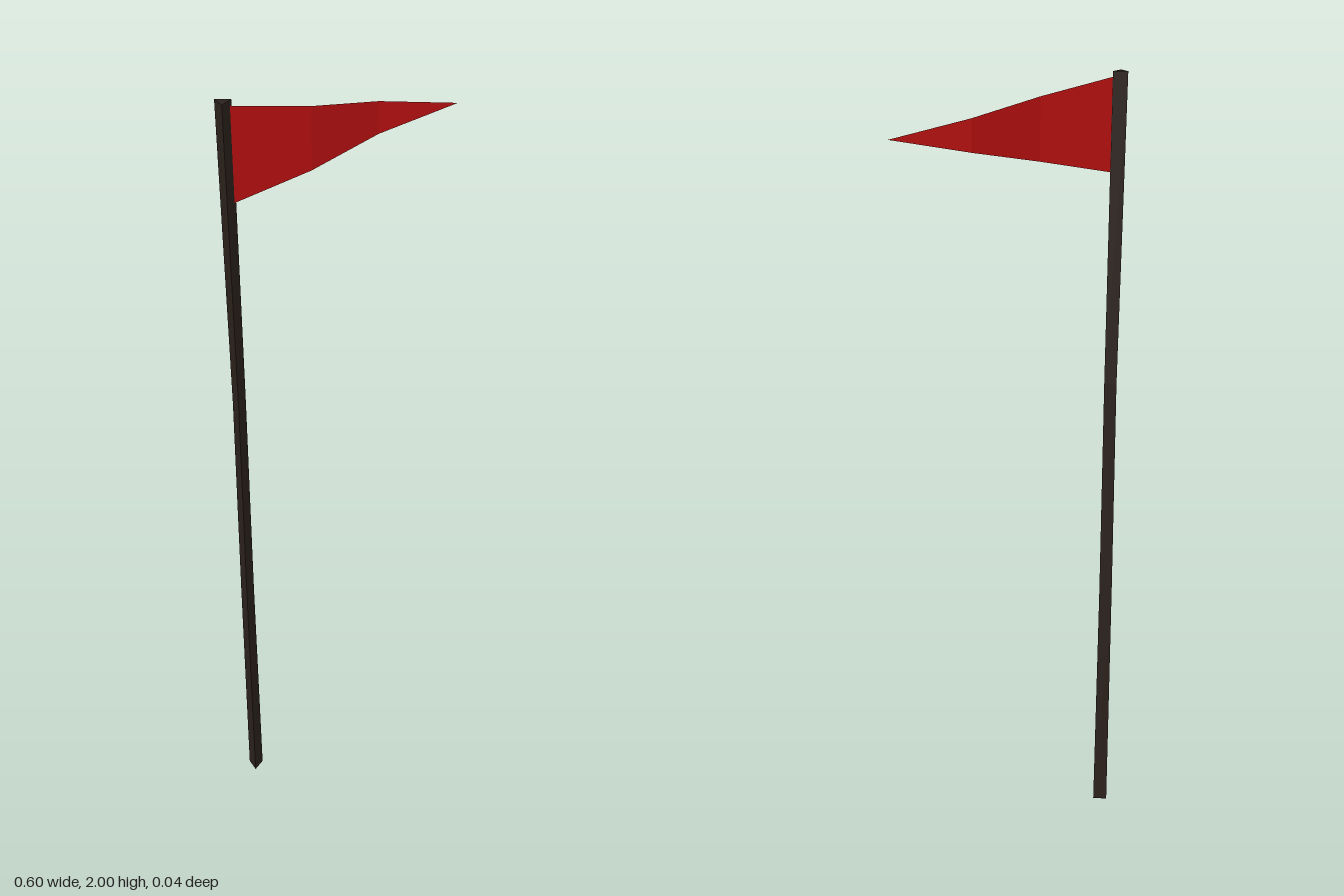
import * as THREE from 'three';

// Three-sided wooden pole, slightly bent and uneven along its height
function createPole() {
  // rows from bottom to top: [centre x, radius]
  const rows = [[-0.278, 0.021], [-0.281, 0.019], [-0.281, 0.018], [-0.289, 0.021]];
  const heights = [0, 0.64, 1.22, 2];
  const geometry = new THREE.CylinderGeometry(1, 1, 3, 3, 3);
  const pos = geometry.attributes.position;
  for (let i = 0; i < pos.count; i++) {
    const row = Math.round(pos.getY(i) + 1.5);
    const [cx, r] = rows[row];
    // turn the section so that one edge points to +x
    const x = pos.getZ(i), z = -pos.getX(i);
    pos.setXYZ(i, cx + x * r, heights[row], z * r);
  }
  const flat = geometry.toNonIndexed();
  flat.computeVertexNormals();
  const pole = new THREE.Mesh(flat, new THREE.MeshStandardMaterial({ color: 0x2b211c, flatShading: true }));
  pole.name = 'pole';
  return pole;
}

// Tapered pennant with a gentle ripple, folded in three strips
function createPennant() {
  const xs = [-0.275, -0.085, 0.1, 0.298];
  const zs = [0.003, 0.014, -0.007, 0.014];
  const geometry = new THREE.PlaneGeometry(1, 1, 3, 1);
  const pos = geometry.attributes.position;
  for (let i = 0; i < pos.count; i++) {
    const col = Math.round((pos.getX(i) + 0.5) * 3);
    const t = (xs[col] - xs[0]) / (xs[3] - xs[0]);
    const edge = pos.getY(i) > 0 ? 1.987 : 1.758;
    pos.setXYZ(i, xs[col], THREE.MathUtils.lerp(edge, 1.874, t), zs[col]);
  }
  geometry.computeVertexNormals();
  const pennant = new THREE.Mesh(geometry, new THREE.MeshStandardMaterial({
    color: 0xb81010, flatShading: true, side: THREE.DoubleSide,
  }));
  pennant.name = 'pennant';
  return pennant;
}

export function createModel() {
  const group = new THREE.Group();
  group.name = 'pennantFlag';
  group.add(createPole(), createPennant());
  return group;
}
